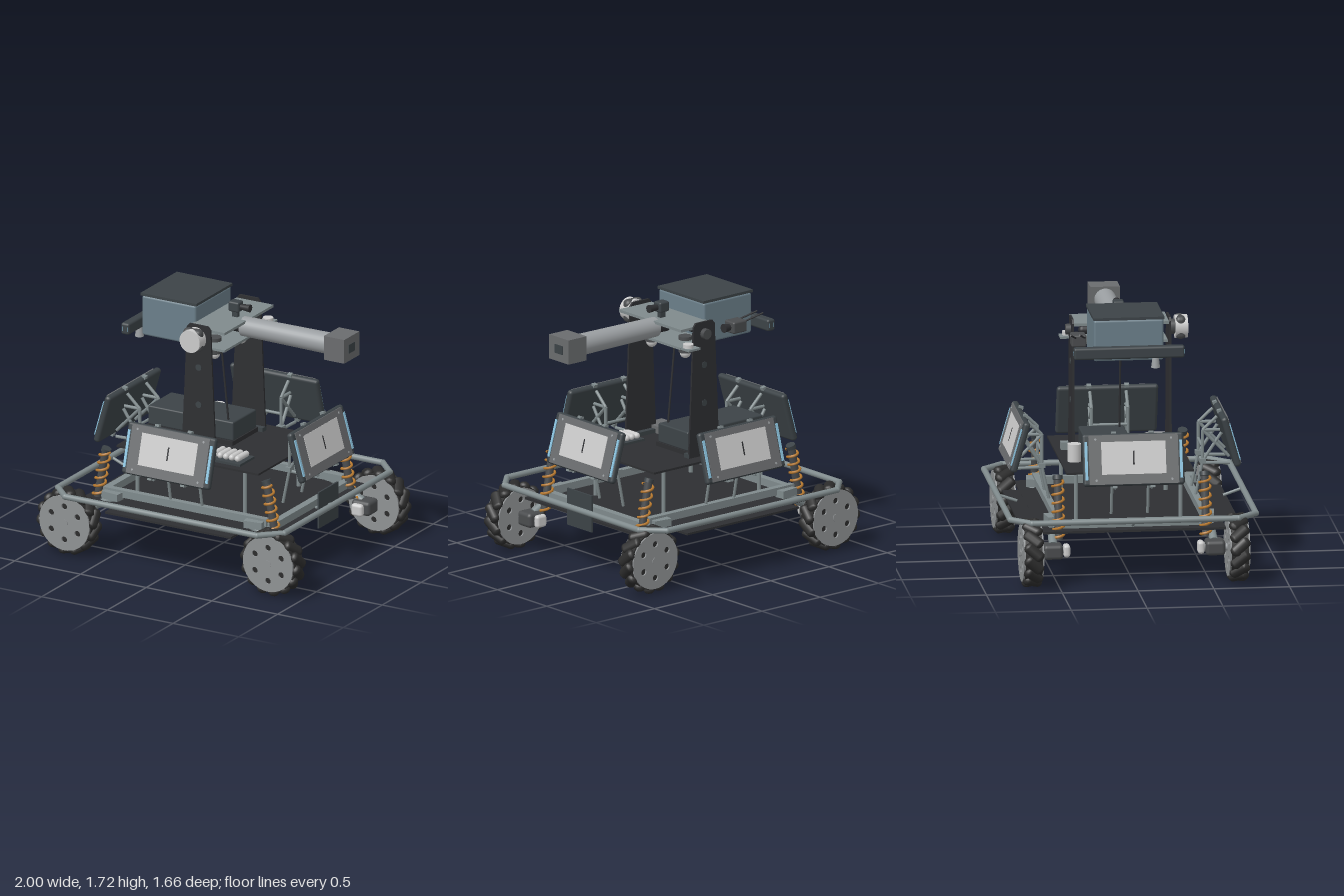
import * as THREE from 'three';
import { RoundedBoxGeometry } from 'three/addons/geometries/RoundedBoxGeometry.js';

const mat = (color) => new THREE.MeshStandardMaterial({ color });
const M = {
  black: mat(0x2e2f32), dark: mat(0x3c4347), tire: mat(0x2c2c2c), tube: mat(0x7f8a8c), hub: mat(0x8f9294),
  bezel: mat(0x6a6c6e), screen: mat(0xcfd3d3), blue: mat(0x8cc4e0), box: mat(0x6b7f8a), spring: mat(0xb87a30),
  white: mat(0xcccccc), steel: mat(0x9a9ea1), motor: mat(0x4a4c4e),
};
const V = (x, y, z) => new THREE.Vector3(x, y, z);

function add(parent, name, geo, m, x = 0, y = 0, z = 0) {
  const mesh = new THREE.Mesh(geo, m);
  mesh.name = name;
  mesh.position.set(x, y, z);
  parent.add(mesh);
  return mesh;
}
const box = (p, name, m, w, h, d, x, y, z) => add(p, name, new THREE.BoxGeometry(w, h, d), m, x, y, z);
const rbox = (p, name, m, w, h, d, r, x, y, z) => add(p, name, new RoundedBoxGeometry(w, h, d, 2, r), m, x, y, z);

// Cylinder between two points
function rod(p, name, m, a, b, r, r2 = r, seg = 20) {
  const d = b.clone().sub(a);
  const mesh = add(p, name, new THREE.CylinderGeometry(r2, r, d.length(), seg), m);
  mesh.position.copy(a).add(b).multiplyScalar(0.5);
  mesh.quaternion.setFromUnitVectors(V(0, 1, 0), d.normalize());
  return mesh;
}

// Wheel with slanted rollers; outer face towards +z
function makeWheel(hand) {
  const g = new THREE.Group();
  g.name = 'wheel';
  rod(g, 'wheelCore', M.tire, V(0, 0, -0.055), V(0, 0, 0.055), 0.198, 0.198, 40);
  const disc = new THREE.Shape().absarc(0, 0, 0.19, 0, Math.PI * 2);
  for (let i = 0; i < 6; i++) {
    const a = i * Math.PI / 3 + Math.PI / 6;
    disc.holes.push(new THREE.Path().absarc(0.115 * Math.cos(a), 0.115 * Math.sin(a), 0.021, 0, Math.PI * 2, true));
  }
  const plate = new THREE.ExtrudeGeometry(disc, { depth: 0.012, bevelEnabled: false, curveSegments: 24 });
  add(g, 'hubPlate', plate, M.hub, 0, 0, 0.054);
  add(g, 'innerHubPlate', plate, M.hub, 0, 0, -0.066);
  rod(g, 'hubCap', M.hub, V(0, 0, 0.06), V(0, 0, 0.07), 0.026);
  const roller = new THREE.CapsuleGeometry(0.03, 0.1, 4, 10);
  for (let i = 0; i < 14; i++) {
    const a = i / 14 * Math.PI * 2 - Math.PI / 2;
    const holder = new THREE.Group();
    holder.rotation.z = a;
    g.add(holder);
    const r = add(holder, 'roller', roller, M.tire, 0.195, 0, 0);
    r.rotation.x = hand * 0.85;
    r.scale.set(1, 0.92, 1.25);
  }
  return g;
}

// Tilted display with its rear bracket, facing +z
function makePanel(dist, angle) {
  const side = new THREE.Group();
  side.name = 'displayUnit';
  side.rotation.y = angle;
  const g = new THREE.Group();
  g.name = 'display';
  g.position.set(0, 0.83, dist);
  g.rotation.x = -0.28;
  side.add(g);
  rbox(g, 'displayCase', M.dark, 0.67, 0.345, 0.046, 0.02, 0, 0, 0);
  box(g, 'displayBezel', M.bezel, 0.59, 0.325, 0.012, 0, 0, 0.022);
  box(g, 'displayScreen', M.screen, 0.425, 0.215, 0.006, 0, 0.01, 0.028);
  box(g, 'screenMark', M.black, 0.01, 0.09, 0.004, 0, 0.01, 0.031);
  for (const s of [-1, 1]) {
    box(g, 'lightStrip', M.blue, 0.018, 0.25, 0.03, s * 0.313, -0.005, 0.014);
    for (const t of [-1, 1]) {
      rod(g, 'bezelScrew', M.steel, V(s * 0.25, t * 0.135, 0.02), V(s * 0.25, t * 0.135, 0.031), 0.008, 0.008, 10);
      box(g, 'clip', M.tube, 0.03, 0.022, 0.03, s * 0.125, t * 0.175, -0.008);
    }
    const x = s * 0.12, P = (z, y) => V(x, y, dist + z);
    for (const [a, b] of [
      [P(-0.165, 0.65), P(-0.165, 0.87)], [P(-0.165, 0.87), P(-0.07, 0.96)], [P(-0.165, 0.87), P(0.01, 0.69)],
      [P(-0.165, 0.65), P(0.015, 0.645)], [P(-0.16, 0.67), P(-0.04, 0.85)], [P(-0.165, 0.87), P(-0.05, 0.87)],
    ]) rod(side, 'bracketStrut', M.tube, a, b, 0.011, 0.011, 10);
    box(side, 'bracketFoot', M.tube, 0.05, 0.03, 0.04, x, 0.665, dist - 0.165);
    rod(side, 'bracketLeg', M.tube, P(-0.165, 0.66), P(-0.215, 0.42), 0.01, 0.01, 10);
  }
  rod(side, 'bracketCrossbar', M.tube, V(-0.12, 0.76, dist - 0.165), V(0.12, 0.76, dist - 0.165), 0.01);
  return side;
}

// Coil-over shock, wheel drive and wheel at one corner
function makeCorner(sx, sz) {
  const g = new THREE.Group();
  g.name = 'wheelCorner';
  const top = V(sx * 0.615, 0.68, sz * 0.485), low = V(sx * 0.685, 0.29, sz * 0.485);
  rod(g, 'shockBody', M.motor, low, top, 0.026);
  rod(g, 'shockTop', M.dark, top, V(sx * 0.605, 0.705, sz * 0.485), 0.032);
  const pts = [];
  for (let i = 0; i <= 112; i++) {
    const a = i / 16 * Math.PI * 2;
    pts.push(top.clone().lerp(low, i / 112).add(V(Math.cos(a) * 0.036, 0, Math.sin(a) * 0.036)));
  }
  add(g, 'coilSpring', new THREE.TubeGeometry(new THREE.CatmullRomCurve3(pts), 224, 0.009, 6), M.spring);
  rbox(g, 'driveMotor', M.motor, 0.14, 0.1, 0.13, 0.025, sx * 0.755, 0.235, sz * 0.535);
  rod(g, 'motorNeck', M.hub, V(sx * 0.755, 0.235, sz * 0.48), V(sx * 0.755, 0.235, sz * 0.455), 0.03);
  rbox(g, 'motorCap', M.white, 0.085, 0.085, 0.045, 0.02, sx * 0.755, 0.235, sz * 0.443);
  rod(g, 'axle', M.steel, V(sx * 0.775, 0.235, sz * 0.58), V(sx * 0.775, 0.235, sz * 0.65), 0.025);
  rod(g, 'suspensionArm', M.tube, V(sx * 0.52, 0.385, sz * 0.52), V(sx * 0.74, 0.27, sz * 0.53), 0.028);
  box(g, 'cornerGusset', M.tube, 0.13, 0.05, 0.07, sx * 0.54, 0.4, sz * 0.52).rotation.y = sx * sz * 0.12;
  const w = makeWheel(sx * sz);
  w.position.set(sx * 0.775, 0.232, sz * 0.68);
  if (sz < 0) w.rotation.y = Math.PI;
  g.add(w);
  return g;
}

function makeChassis() {
  const g = new THREE.Group();
  g.name = 'chassis';
  box(g, 'basePlate', M.black, 1.49, 0.016, 1.22, 0, 0.352, 0);
  box(g, 'basePlateExtension', M.black, 0.96, 0.014, 1.44, 0, 0.352, 0);
  for (const s of [-1, 1]) {
    box(g, 'longBeam', M.tube, 1.24, 0.05, 0.045, 0, 0.415, s * 0.485);
    box(g, 'crossBeam', M.tube, 0.05, 0.05, 0.98, s * 0.64, 0.385, 0);
    rod(g, 'bumperStay', M.tube, V(0, 0.4, s * 0.68), V(0, 0.445, s * 0.81), 0.01);
    rod(g, 'bumperStay', M.tube, V(s * 0.7, 0.38, 0), V(s * 0.86, 0.445, 0), 0.01);
    for (const x of [-0.455, 0.365]) rod(g, 'deckPost', M.tube, V(x, 0.36, s * 0.345), V(x, 0.705, s * 0.345), 0.014);
  }
  // Bumper rail with cut corners
  const ring = [[0.73, 0.81], [0.86, 0.68], [0.86, -0.68], [0.73, -0.81], [-0.73, -0.81], [-0.86, -0.68], [-0.86, 0.68], [-0.73, 0.81]];
  ring.forEach(([x, z], i) => {
    const [x2, z2] = ring[(i + 1) % 8];
    rod(g, 'bumperRail', M.tube, V(x, 0.445, z), V(x2, 0.445, z2), 0.02);
    add(g, 'bumperJoint', new THREE.SphereGeometry(0.021, 16, 10), M.tube, x, 0.445, z);
  });
  box(g, 'endPlate', M.dark, 0.012, 0.25, 0.25, 0.79, 0.415, 0);
  box(g, 'lowerSensor', M.dark, 0.175, 0.016, 0.12, 0.165, 0.19, 0);
  return g;
}

function makeDeck() {
  const g = new THREE.Group();
  g.name = 'deck';
  box(g, 'deckPlate', M.black, 1.08, 0.014, 0.84, -0.03, 0.705, 0);
  rbox(g, 'batteryCase', M.dark, 0.65, 0.13, 0.3, 0.01, -0.235, 0.805, -0.115);
  box(g, 'batteryBase', M.black, 0.66, 0.03, 0.33, -0.235, 0.727, -0.115);
  rod(g, 'canister', M.white, V(-0.24, 0.71, -0.33), V(-0.24, 0.83, -0.33), 0.045);
  box(g, 'controlUnit', M.bezel, 0.15, 0.05, 0.18, -0.165, 0.735, 0.295);
  box(g, 'cellTray', M.dark, 0.26, 0.016, 0.19, 0.21, 0.72, 0.275);
  for (let i = 0; i < 5; i++) {
    const cell = add(g, 'cell', new THREE.CapsuleGeometry(0.021, 0.11, 4, 12), M.white, 0.12 + i * 0.044, 0.748, 0.27);
    cell.rotation.x = Math.PI / 2;
  }
  for (const s of [-1, 1]) box(g, 'deckClamp', M.tube, 0.06, 0.05, 0.05, 0.02, 0.76, s * 0.365);
  rod(g, 'cable', M.black, V(0.05, 0.71, 0), V(-0.03, 1.47, 0), 0.007, 0.007, 8);
  return g;
}

// Side plates carrying the tilting head
function makeTowers() {
  const g = new THREE.Group();
  g.name = 'towers';
  const s = new THREE.Shape([[-0.13, 0.7], [0.13, 0.7], [0.09, 1.6], [0.07, 1.625], [-0.07, 1.625], [-0.09, 1.6]].map(([x, y]) => new THREE.Vector2(x, y)));
  const geo = new THREE.ExtrudeGeometry(s, { depth: 0.014, bevelEnabled: false });
  for (const z of [-1, 1]) {
    add(g, 'towerPlate', geo, M.black, 0, 0, z * 0.32 - 0.007);
    for (const y of [1.07, 1.33]) rod(g, 'towerBolt', M.dark, V(0, y, z * 0.32), V(0, y, z * 0.33), 0.022);
    box(g, 'towerFoot', M.dark, 0.26, 0.03, 0.05, 0, 0.725, z * 0.3);
  }
  rod(g, 'tiltMotor', M.motor, V(0, 1.545, 0.33), V(0, 1.545, 0.36), 0.05);
  rbox(g, 'tiltMotorHousing', M.motor, 0.14, 0.155, 0.07, 0.03, 0, 1.545, 0.395);
  rod(g, 'tiltMotorCap', M.white, V(0, 1.545, 0.36), V(0, 1.545, 0.442), 0.077, 0.077, 32);
  rod(g, 'tiltPivot', M.motor, V(0, 1.545, -0.36), V(0, 1.545, -0.32), 0.035);
  return g;
}

function makeHead() {
  const g = new THREE.Group();
  g.name = 'head';
  box(g, 'upperPlate', M.tube, 0.28, 0.018, 0.63, 0.05, 1.592, 0);
  box(g, 'lowerPlate', M.tube, 0.27, 0.016, 0.61, 0.05, 1.468, 0);
  const bar = add(g, 'crossCylinder', new THREE.CapsuleGeometry(0.03, 0.5, 6, 16), M.black, -0.03, 1.545, 0);
  bar.rotation.x = Math.PI / 2;
  rod(g, 'turntable', M.black, V(-0.12, 1.52, 0), V(-0.12, 1.575, 0), 0.085);
  // Equipment box with lid
  rbox(g, 'equipmentBox', M.box, 0.41, 0.275, 0.46, 0.015, -0.285, 1.573, 0);
  box(g, 'boxLid', M.dark, 0.425, 0.018, 0.468, -0.285, 1.72, 0);
  // Barrel
  rod(g, 'barrel', M.steel, V(0.15, 1.545, 0), V(0.83, 1.545, 0), 0.066, 0.072, 32);
  rod(g, 'barrelMount', M.black, V(0.05, 1.545, 0), V(0.16, 1.545, 0), 0.045);
  box(g, 'barrelHead', M.bezel, 0.155, 0.165, 0.195, 0.895, 1.547, 0);
  box(g, 'barrelOpening', M.dark, 0.006, 0.06, 0.08, 0.972, 1.547, 0);
  // Sighting camera
  rbox(g, 'sightCamera', M.dark, 0.08, 0.07, 0.07, 0.012, 0.09, 1.675, 0);
  rod(g, 'sightLens', M.black, V(0.12, 1.675, 0), V(0.2, 1.675, 0), 0.018, 0.026);
  box(g, 'sightStand', M.dark, 0.04, 0.05, 0.03, 0.09, 1.62, 0);
  // Downward lamps
  for (const s of [-1, 1]) {
    rod(g, 'lampBody', M.motor, V(0.03, 1.5, s * 0.17), V(0.03, 1.39, s * 0.17), 0.045);
    add(g, 'lampBulb', new THREE.SphereGeometry(0.037, 20, 12), M.white, 0.03, 1.385, s * 0.17);
  }
  // Rear light bar
  rbox(g, 'lightBar', M.dark, 0.062, 0.08, 0.73, 0.015, -0.543, 1.506, -0.005);
  for (const s of [-1, 1]) box(g, 'lightBarStrip', M.blue, 0.04, 0.03, 0.06, -0.543, 1.506, s * 0.335 - 0.005);
  rod(g, 'lightBarArm', M.dark, V(-0.54, 1.506, 0), V(-0.47, 1.52, 0), 0.02);
  rod(g, 'lightBarHorn', M.steel, V(-0.543, 1.4, 0.17), V(-0.543, 1.475, 0.17), 0.03, 0.02);
  // Side camera with whiskers
  rbox(g, 'sideCamera', M.motor, 0.115, 0.08, 0.1, 0.012, -0.285, 1.54, -0.31);
  rod(g, 'sideLens', M.black, V(-0.23, 1.54, -0.31), V(-0.18, 1.54, -0.31), 0.022, 0.03);
  for (const dz of [0, 0.06]) rod(g, 'antenna', M.black, V(-0.33, 1.56, -0.33 + dz), V(-0.46, 1.61, -0.38 + dz), 0.006, 0.006, 8);
  box(g, 'sideBracket', M.tube, 0.1, 0.014, 0.09, 0.13, 1.468, -0.34);
  rod(g, 'sideKnob', M.white, V(0.14, 1.47, -0.33), V(0.14, 1.5, -0.33), 0.035);
  return g;
}

export function createModel() {
  const model = new THREE.Group();
  model.name = 'rover';
  model.add(makeChassis(), makeDeck(), makeTowers(), makeHead());
  for (const sx of [-1, 1]) for (const sz of [-1, 1]) model.add(makeCorner(sx, sz));
  for (let k = 0; k < 4; k++) model.add(makePanel(k % 2 ? 0.735 : 0.695, k * Math.PI / 2));
  return model;
}
